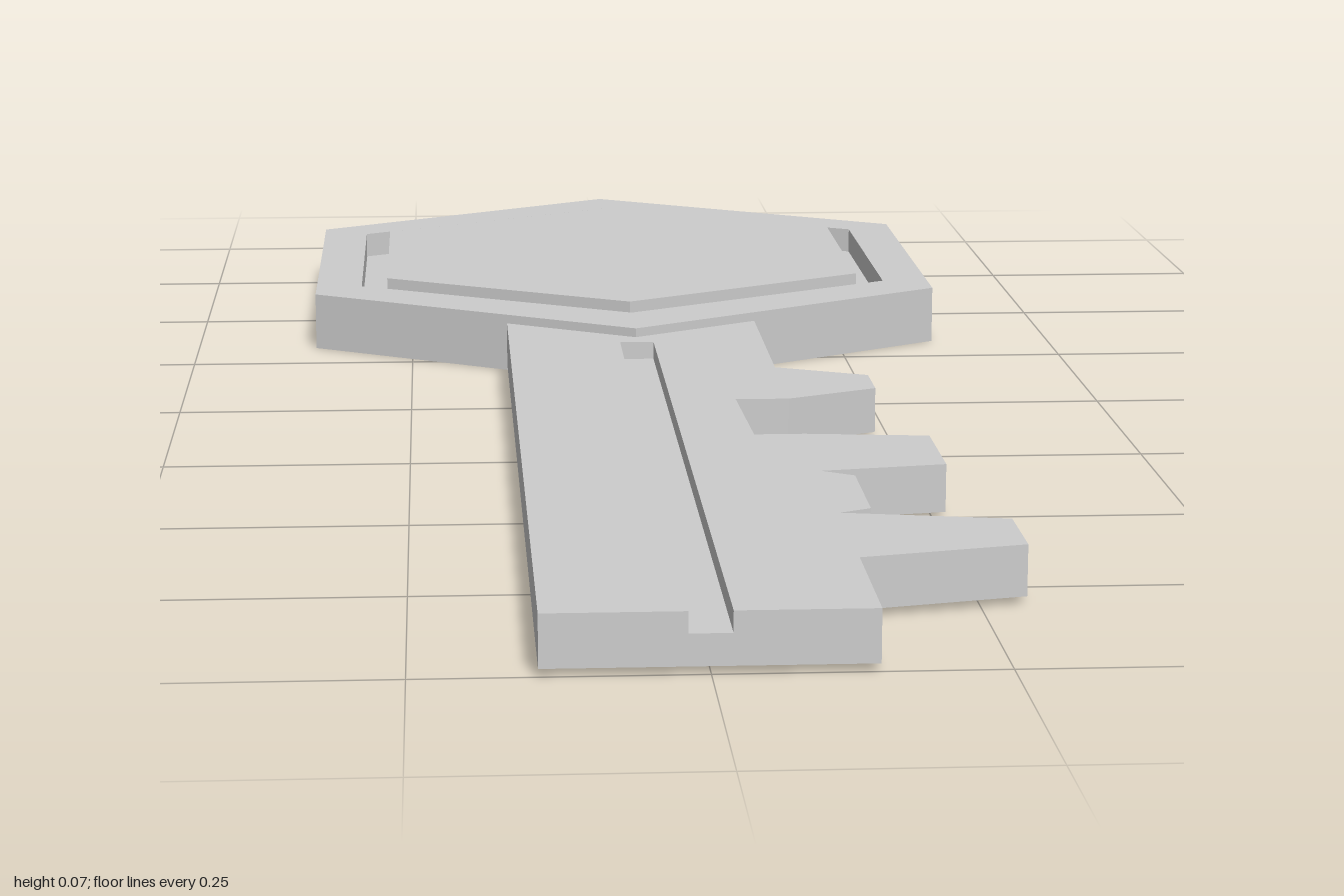
import * as THREE from 'three';

const metal = new THREE.MeshStandardMaterial({ color: 0xcccccc });
metal.name = 'plain grey metal';

// Outlines are given as [x, z] pairs seen from above.
const toPoints = (pts) => pts.map(([x, z]) => new THREE.Vector2(x, -z));

// Upright slab from an outline between two heights.
function slab(name, outline, y0, y1, hole) {
  const shape = new THREE.Shape(toPoints(outline));
  if (hole) shape.holes.push(new THREE.Path(toPoints(hole)));
  const geo = new THREE.ExtrudeGeometry(shape, { depth: y1 - y0, bevelEnabled: false });
  geo.rotateX(-Math.PI / 2);
  geo.translate(0, y0, 0);
  const mesh = new THREE.Mesh(geo, metal);
  mesh.name = name;
  return mesh;
}

// Hexagon with points towards the front and back.
function hexagon(halfWidth, halfLength, zc) {
  const h = halfLength / 2;
  return [
    [0, zc + halfLength], [halfWidth, zc + h], [halfWidth, zc - h],
    [0, zc - halfLength], [-halfWidth, zc - h], [-halfWidth, zc + h],
  ];
}

export function createModel() {
  const key = new THREE.Group();
  key.name = 'key';

  // Head: raised rim, sunken floor and raised centre panel
  const rim = hexagon(0.363, 0.443, -0.557);
  const recess = hexagon(0.31, 0.358, -0.563);
  const panel = hexagon(0.28, 0.323, -0.563);
  const head = new THREE.Group();
  head.name = 'head';
  head.add(
    slab('headRim', rim, 0, 0.064, recess),
    slab('recessFloor', recess, 0, 0.035),
    slab('centrePanel', panel, 0.035, 0.07),
  );

  // Shaft with teeth down its left side and a groove open at the tip
  const teeth = [
    [0.14, 0.055], [0.235, 0.1], [0.235, 0.165], [0.14, 0.21],
    [0.085, 0.21], [0.09, 0.37], [0.14, 0.37],
    [0.262, 0.385], [0.262, 0.505], [0.14, 0.525],
    [0.17, 0.545], [0.17, 0.67], [0.14, 0.685],
    [0.292, 0.715], [0.292, 0.805], [0.14, 0.84],
  ];
  const groove = [[0.018, 1], [0.018, -0.087], [-0.019, -0.087], [-0.019, 1]];
  const blade = [[-0.142, -0.2], [0.14, -0.2], ...teeth, [0.14, 1], ...groove, [-0.142, 1]];
  const shaft = new THREE.Group();
  shaft.name = 'shaft';
  shaft.add(
    slab('toothedBlade', blade, 0.007, 0.054),
    slab('grooveFloor', groove, 0.007, 0.035),
  );

  key.add(head, shaft);
  return key;
}
